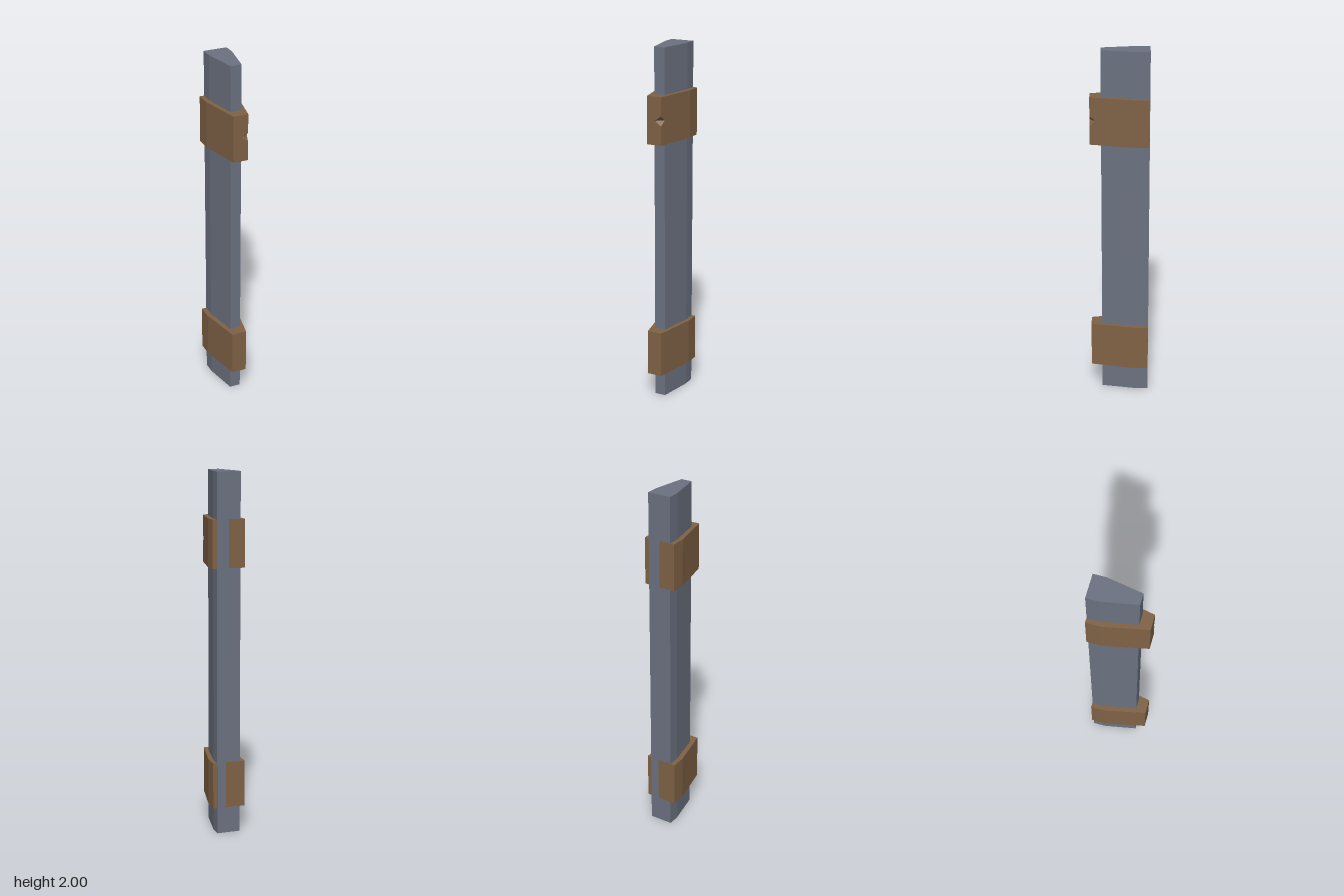
import * as THREE from 'three';

const steel = new THREE.MeshStandardMaterial({ color: 0x6b7280 });
steel.name = 'slateGrey';
const leather = new THREE.MeshStandardMaterial({ color: 0x806245 });
leather.name = 'brown';

// Flat-shaded geometry from convex (or fan-able) faces, corners counter-clockwise
function fromFaces(faces) {
  const pos = [];
  for (const f of faces) {
    for (let i = 1; i < f.length - 1; i++) pos.push(...f[0], ...f[i], ...f[i + 1]);
  }
  const geo = new THREE.BufferGeometry();
  geo.setAttribute('position', new THREE.Float32BufferAttribute(pos, 3));
  geo.computeVertexNormals();
  return geo;
}

// Upright prism over an [x, z] outline that starts front left and runs to front right.
// A notch, if given, is chipped out of the front right edge.
function prism(outline, y0, y1, notch) {
  const low = outline.map(([x, z]) => [x, y0, z]);
  const high = outline.map(([x, z]) => [x, y1, z]);
  const faces = [high, [...low].reverse()];
  outline.forEach((_, i) => {
    const j = (i + 1) % outline.length;
    if (notch && i < 2) return;
    faces.push([low[i], low[j], high[j], high[i]]);
  });
  if (notch) {
    const [[ex, ez], [sx, sz]] = [outline[1], outline[2]];
    const t = notch.depth / (ez - sz);
    const upper = [ex, notch.y + notch.half, ez];
    const lower = [ex, notch.y - notch.half, ez];
    const front = [ex - notch.width, notch.y, ez];
    const side = [ex + (sx - ex) * t, notch.y, ez + (sz - ez) * t];
    faces.push(
      [front, upper, high[1], high[0], low[0], low[1], lower],
      [side, lower, low[1], low[2], high[2], high[1], upper],
      [lower, side, front],
      [upper, front, side]
    );
  }
  return fromFaces(faces);
}

// Tapered outline; tilt skews the back edge slightly, shift slides it sideways
function outline(frontHalf, frontZ, half, bendZ, backZ, tilt = 0, shift = 0) {
  return [
    [-frontHalf, frontZ], [frontHalf, frontZ],
    [half, bendZ], [half, backZ + tilt],
    [-half, backZ - tilt], [-half, bendZ]
  ].map(([x, z]) => [x + shift, z]);
}

export function createModel() {
  const group = new THREE.Group();
  group.name = 'bandedPost';
  const add = (name, geo, mat) => {
    const mesh = new THREE.Mesh(geo, mat);
    mesh.name = name;
    group.add(mesh);
  };

  // Tall tapered post
  add('post', prism(outline(0.031, 0.1, 0.066, -0.093, -0.162), 0, 2), steel);

  // Two bands around the post, sitting slightly askew; the upper one is chipped
  add('lowerBand',
    prism(outline(0.042, 0.161, 0.091, -0.079, -0.1623, 0.0015, -0.002), 0.147, 0.407), leather);
  add('upperBand',
    prism(outline(0.042, 0.161, 0.091, -0.079, -0.162, 0.0015), 1.486, 1.748,
      { y: 1.619, half: 0.027, width: 0.036, depth: 0.031 }), leather);

  return group;
}
